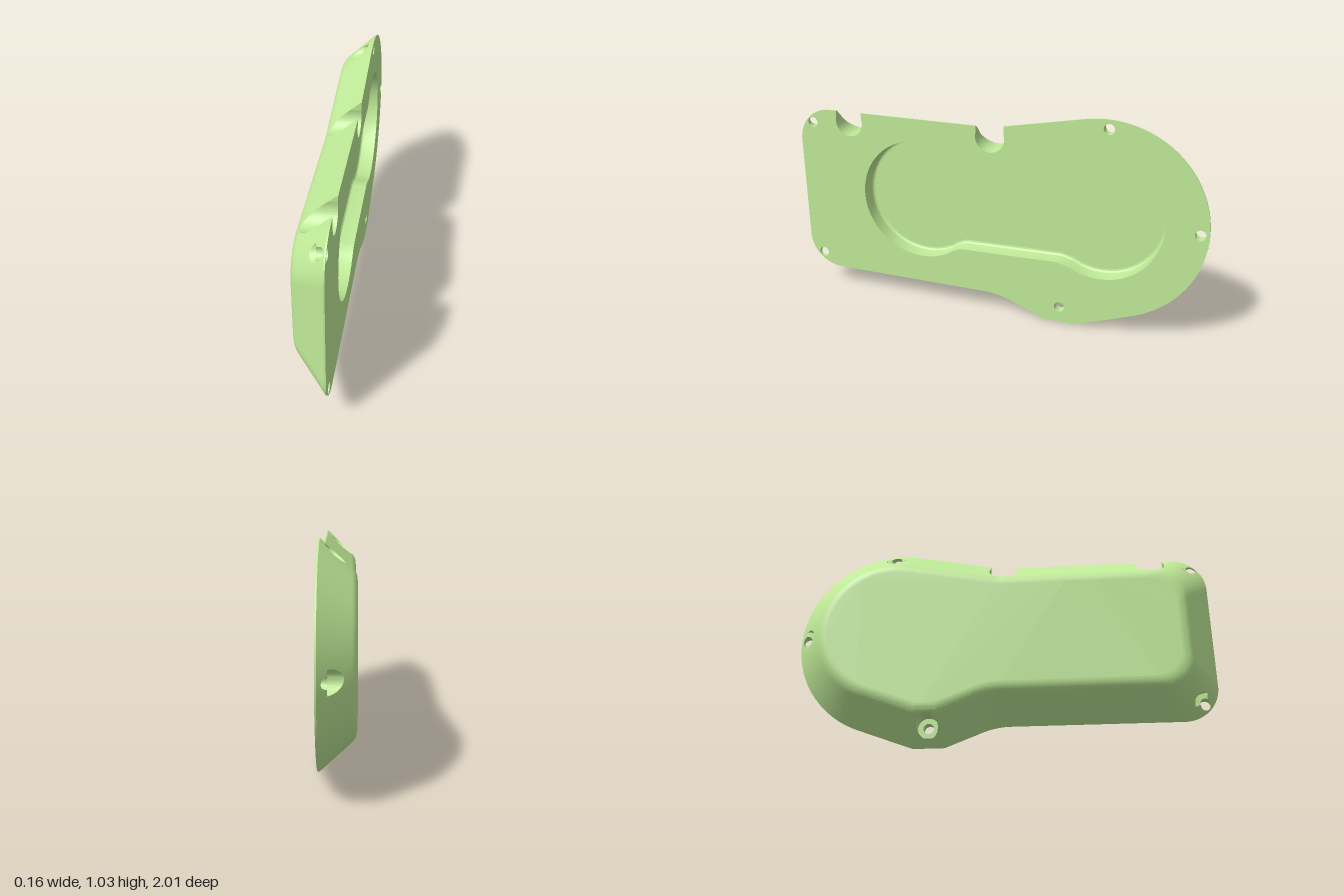
import * as THREE from 'three';
import { toCreasedNormals } from 'three/addons/utils/BufferGeometryUtils.js';

// Plate lies in the (z, y) plane: 2D points are [z, y], thickness runs along x.
const FRONT = 0.08, BACK = -0.08, SEAT = 0.035, FLOOR = 0;
const HOLE_R = 0.025, BORE_R = 0.05, NOTCH_R = 0.07, SLOT = 0.067, NOTCH_Y = 0.885;
const HOLES = [[0.93, 0.866], [0.93, 0.165], [-0.537, 0.983], [-0.96, 0.55], [-0.34, 0.08]];
const NOTCHES = [0.73, 0.01];
const material = new THREE.MeshStandardMaterial({ color: 0xc0eb98, side: THREE.DoubleSide });
const lerp = (a, b, t) => a.map((v, i) => v + (b[i] - v) * t);
const dist = (p, c) => Math.hypot(p[0] - c[0], p[1] - c[1]);
const at = (x, pts) => pts.map(p => [x, p[1], p[0]]);
const range = (n, fn) => Array.from({ length: n + 1 }, (_, i) => fn(i / n));
const arc = (c, r, a0, a1, n) => range(n, t => {
  const a = (a0 + (a1 - a0) * t) * Math.PI / 180;
  return [c[0] + r * Math.cos(a), c[1] + r * Math.sin(a)];
});
const ring = (c, r) => arc(c, r, 0, 360, 40).slice(0, 40);

// Outer edge: points with an inward velocity, so it can be inset to any distance
const mitre = (m, n) => {
  const k = -1 / (1 + m[0] * n[0] + m[1] * n[1]);
  return [(m[0] + n[0]) * k, (m[1] + n[1]) * k];
};
function makeEdge() {
  const key = [], down = [0, -1], up = [0, 1];
  const nTail = [-0.347, -0.938], nRamp = [0.368, -0.93], nRise = [0.19, 0.982];
  // Rounded stretch; drift keeps part of the radius while it is inset
  const round = (c, r, a0, a1, n, drift = [0, 0], share = 0) => arc(c, r, a0, a1, n).forEach(p =>
    key.push([p, lerp([(c[0] - p[0]) / r, (c[1] - p[1]) / r], drift, share)]));
  round([-0.521, 0.548], 0.479, 79, 249.7, 90);
  key.push([[-0.42, 0], mitre(nTail, down)], [[-0.27, 0], mitre(down, nRamp)]);
  const bend = new THREE.QuadraticBezierCurve(
    new THREE.Vector2(-0.095, 0.0695), new THREE.Vector2(-0.03, 0.095), new THREE.Vector2(0.04, 0.095));
  bend.getPoints(10).forEach(p => key.push([[p.x, p.y], mitre(nRamp, down)]));
  round([0.835, 0.26], 0.165, -90, 0, 24, [-1, 1], 0.75);
  round([0.835, 0.77], 0.165, 0, 90, 24, [-1, -1], 0.85);
  key.push([[0, 0.935], mitre(up, nRise)]);
  const out = [];
  key.forEach(([p, v], i) => {
    const [q, w] = key[(i + 1) % key.length];
    const n = Math.max(1, Math.round(dist(p, q) / 0.009));
    for (let j = 0; j < n; j++) out.push([lerp(p, q, j / n), lerp(v, w, j / n)]);
  });
  return out;
}
const edge = makeEdge();
const inset = d => edge.map(([p, v]) => [p[0] + v[0] * d, p[1] + v[1] * d]);

// Side profile as [inset, x]: thin rim, straight slope, rounded shoulder
const slopeEnd = [0.118, -0.058], corner = [0.138, BACK], LIP = [0, 0.073];
const profile = [[0, FRONT], ...range(18, t => lerp(LIP, slopeEnd, t)),
  ...range(6, t => lerp(lerp(slopeEnd, corner, t), lerp(corner, [0.168, BACK], t), t)).slice(1)];

function inside(poly, p) {
  let hit = false;
  poly.forEach((a, i) => {
    const b = poly[(i + 1) % poly.length];
    if ((a[1] > p[1]) !== (b[1] > p[1]) &&
        p[0] < a[0] + (b[0] - a[0]) * (p[1] - a[1]) / (b[1] - a[1])) hit = !hit;
  });
  return hit;
}
// x of the sloped surface at a 2D point
function surfaceX(p) {
  let lo = 0, hi = 0.168;
  for (let i = 0; i < 12; i++) {
    const m = (lo + hi) / 2;
    if (inside(inset(m), p)) lo = m; else hi = m;
  }
  for (let i = 2; i < profile.length; i++) {
    const [a, b] = [profile[i - 1], profile[i]];
    if (lo <= b[0]) return lerp(a, b, (lo - a[0]) / (b[0] - a[0]))[1];
  }
  return BACK;
}

// Adds a triangle, keeping only the part where keep(point) > 0
function addTriangle(out, tri, keep) {
  const g = tri.map(p => (keep ? keep(p) : 1)), poly = [];
  tri.forEach((p, i) => {
    const j = (i + 1) % 3;
    if (g[i] > 0) poly.push(p);
    if ((g[i] > 0) !== (g[j] > 0)) poly.push(lerp(p, tri[j], g[i] / (g[i] - g[j])));
  });
  for (let i = 2; i < poly.length; i++) out.push(...poly[0], ...poly[i - 1], ...poly[i]);
}
function toMesh(name, out) {
  const geometry = new THREE.BufferGeometry();
  geometry.setAttribute('position', new THREE.Float32BufferAttribute(out, 3));
  const mesh = new THREE.Mesh(toCreasedNormals(geometry, 0.3), material);
  mesh.name = name;
  return mesh;
}
// Skin between successive rows of points
function skin(out, rows, { flip = false, closed = true, keep } = {}) {
  for (let r = 1; r < rows.length; r++) {
    const A = rows[r - 1], B = rows[r], n = A.length;
    for (let i = 0; i < (closed ? n : n - 1); i++) {
      const j = (i + 1) % n;
      for (const t of [[A[i], A[j], B[j]], [A[i], B[j], B[i]]])
        addTriangle(out, flip ? t.reverse() : t, keep);
    }
  }
  return out;
}
// Flat face at x with optional holes
function flat(out, x, outline, holes, flip) {
  const v2 = pts => pts.map(p => new THREE.Vector2(p[0], p[1]));
  const all = at(x, [outline, ...holes].flat());
  for (const f of THREE.ShapeUtils.triangulateShape(v2(outline), holes.map(v2))) {
    const t = f.map(i => all[i]);
    addTriangle(out, flip ? t.reverse() : t);
  }
  return out;
}

// Cut-outs as signed functions, positive in solid material
const notchGap = (p, z) => Math.min(
  dist(p, [z, NOTCH_Y]) - NOTCH_R, Math.max(Math.abs(p[0] - z) - SLOT, NOTCH_Y - p[1]));
const keepSide = ([x, y, z]) => Math.min(
  ...NOTCHES.map(n => notchGap([z, y], n)),
  ...HOLES.map(c => dist([z, y], c) - HOLE_R),
  ...HOLES.map(c => Math.max(dist([z, y], c) - BORE_R, x - SEAT)));

// Notch wall path, down one side, round the bottom and up the other
function notchPath(z) {
  const a = Math.acos(SLOT / NOTCH_R) * 180 / Math.PI;
  const round = arc([z, NOTCH_Y], NOTCH_R, 180 - a, 360 + a, 48);
  const topY = u => (u < 0 ? 0.935 - 0.194 * u : 0.935);
  const side = p => range(8, t => lerp([p[0], topY(p[0])], p, t)).slice(0, 8);
  return [...side(round[0]), ...round, ...side(round[48]).reverse()];
}
// Outer edge with the notches let in
function notchedOutline() {
  const out = [], done = new Set();
  for (const [p] of edge) {
    const z = NOTCHES.find(n => notchGap(p, n) <= 0);
    if (z === undefined) out.push(p);
    else if (!done.has(z)) out.push(...notchPath(z).reverse());
    done.add(z);
  }
  return out;
}

// Pocket outline: two round ends joined by a waist
function pocketOutline() {
  const s = new THREE.Shape(), rad = Math.PI / 180;
  s.absarc(0.37, 0.53, 0.297, -118 * rad, 118 * rad);
  s.quadraticCurveTo(0.183, 0.767, 0.15, 0.767);
  s.lineTo(-0.31, 0.776);
  s.quadraticCurveTo(-0.333, 0.776, -0.38, 0.802);
  s.absarc(-0.52, 0.55, 0.288, 61 * rad, 299 * rad);
  s.quadraticCurveTo(-0.333, 0.314, -0.31, 0.314);
  s.lineTo(0.15, 0.304);
  s.quadraticCurveTo(0.183, 0.302, 0.23, 0.268);
  const pts = s.getPoints(16).map(p => [p.x, p.y]);
  return pts.filter((p, i) => dist(p, pts[(i + 1) % pts.length]) > 0.002);
}
const shrink = (pts, d) => pts.map((p, i) => {
  const a = pts.at(i - 1), b = pts[(i + 1) % pts.length], l = dist(a, b);
  return [p[0] - (b[1] - a[1]) / l * d, p[1] + (b[0] - a[0]) / l * d];
});

export function createModel() {
  const group = new THREE.Group();
  group.name = 'coverPlate';

  // Sloped sides and flat back
  group.add(toMesh('slopedSides', skin([], profile.map(([d, x]) => at(x, inset(d))), { keep: keepSide })));
  group.add(toMesh('backFace', flat([], BACK, inset(0.168), [])));

  // Front face, open at the pocket, screw holes and notches
  const pocket = pocketOutline();
  const openings = [pocket, ...HOLES.map(c => ring(c, HOLE_R))];
  group.add(toMesh('frontFace', flat([], FRONT, notchedOutline(), openings, true)));

  // Pocket walls with a small fillet, and the floor
  const steps = [[0, FRONT], [0, 0.016], [0.002, 0.008], [0.008, 0.002], [0.016, 0]];
  const walls = skin([], steps.map(([d, h]) => at(h ? h + FLOOR : FLOOR, shrink(pocket, d))), { flip: true });
  group.add(toMesh('pocketWalls', walls));
  group.add(toMesh('pocketFloor', flat([], FLOOR, shrink(pocket, 0.016), [], true)));

  // Screw holes, each with a counterbore cut into the slope
  for (const c of HOLES) {
    const out = [], small = ring(c, HOLE_R), big = ring(c, BORE_R);
    const lower = (pts, limit) => pts.map(p => [limit(surfaceX(p)), p[1], p[0]]);
    skin(out, [at(FRONT, small), lower(small, x => Math.max(SEAT, x))], { flip: true });
    skin(out, [at(SEAT, big), lower(big, x => Math.min(SEAT, x))], { flip: true });
    skin(out, range(4, t => at(SEAT, ring(c, BORE_R + (HOLE_R - BORE_R) * t))),
      { keep: ([, y, z]) => SEAT - surfaceX([z, y]) });
    group.add(toMesh('screwHole', out));
  }

  // Round-bottomed notches in the top edge
  for (const z of NOTCHES) {
    const path = notchPath(z), end = path.map(p => [surfaceX(p), p[1], p[0]]);
    group.add(toMesh('notch', skin([], [at(FRONT, path), end], { flip: true, closed: false })));
  }
  return group;
}
